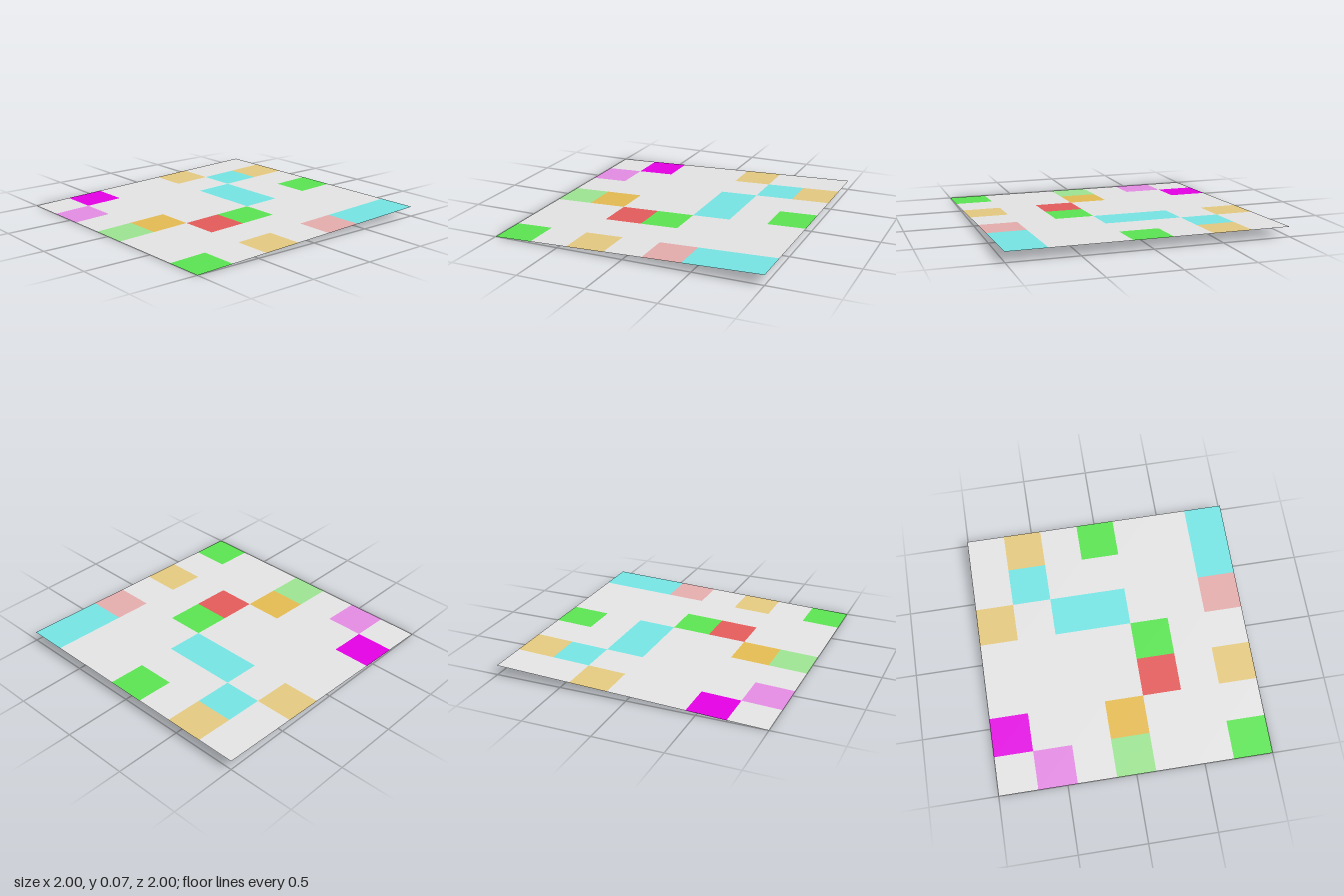
import * as THREE from 'three';
import { mergeGeometries } from 'three/addons/utils/BufferGeometryUtils.js';

const CELLS = 7;
const SIZE = 2 / CELLS;
const RISE = 0.072; // height of the back edge; the front edge rests on y = 0

// Colour of each letter used in the tile map
const COLOURS = {
  '.': ['white', 0xffffff],
  s: ['sand', 0xffe190],
  o: ['ochre', 0xffd25d],
  g: ['green', 0x67ff5d],
  l: ['paleGreen', 0xb0ffa4],
  c: ['cyan', 0x85ffff],
  p: ['pink', 0xffc1c1],
  r: ['red', 0xff6767],
  m: ['magenta', 0xff00ff],
  v: ['violet', 0xff9dff],
};

// Rows run from back to front, columns from -x to +x
const MAP = [
  '.s.g..c',
  '.c....c',
  's.cc..p',
  '....g..',
  '....r.s',
  'm..o...',
  '.v.l..g',
];

// One square tile lying in the sloped sheet
function tile(col, row) {
  const geo = new THREE.PlaneGeometry(SIZE, SIZE);
  geo.rotateX(-Math.PI / 2);
  geo.translate(-1 + (col + 0.5) * SIZE, 0, -1 + (row + 0.5) * SIZE);
  const pos = geo.attributes.position;
  for (let i = 0; i < pos.count; i++) {
    pos.setY(i, (RISE * (1 - pos.getZ(i))) / 2);
  }
  geo.computeVertexNormals();
  return geo;
}

export function createModel() {
  const group = new THREE.Group();
  group.name = 'tiledSheet';

  // One mesh for all the tiles of a colour
  for (const [letter, [name, color]] of Object.entries(COLOURS)) {
    const tiles = [];
    MAP.forEach((line, row) => {
      [...line].forEach((c, col) => {
        if (c === letter) tiles.push(tile(col, row));
      });
    });
    const material = new THREE.MeshStandardMaterial({ color, side: THREE.DoubleSide });
    material.name = name;
    const mesh = new THREE.Mesh(mergeGeometries(tiles), material);
    mesh.name = name + 'Tiles';
    group.add(mesh);
  }
  return group;
}
